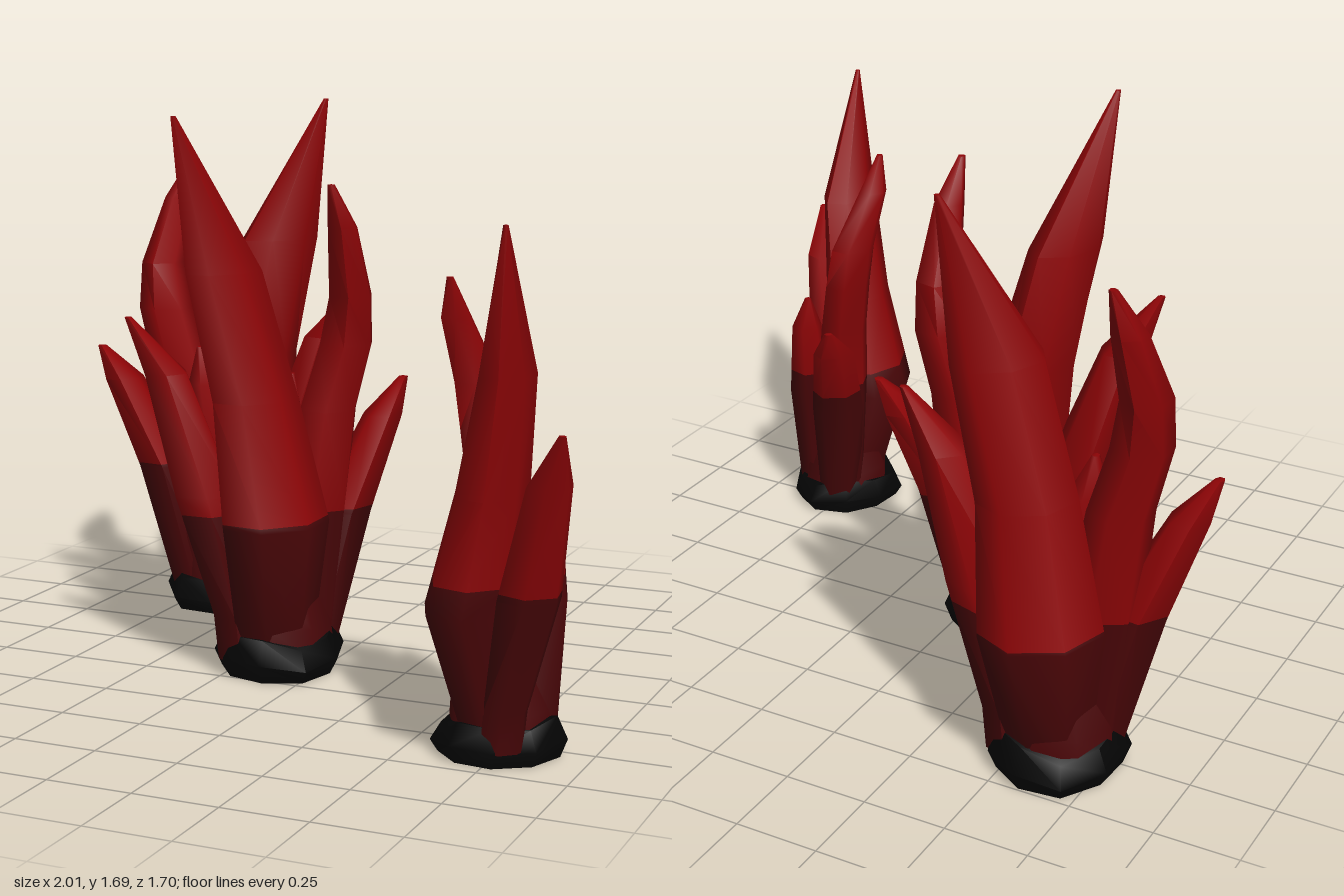
import * as THREE from 'three';
import { toCreasedNormals } from 'three/addons/utils/BufferGeometryUtils.js';

const SPLIT = 0.49; // height where the dark stems turn into bright tips

// Each spike: cross-sections [y, x, z, radiusX, radiusZ] from root to tip.
// tilt turns the oval sections about the vertical, phase turns their corners.
const SPIKES = {
  tallSpike: { sides: 7, phase: -0.66, tilt: -0.91, rings: [
    [0.08, 0.015, -0.045, 0.125, 0.12], [0.48, 0.0, -0.132, 0.182, 0.15],
    [0.85, 0.062, -0.1, 0.148, 0.115], [1.23, 0.15, -0.105, 0.138, 0.085],
    [1.69, 0.28, -0.2, 0.008, 0.008]] },
  mediumSpike: { sides: 6, phase: 0.3, tilt: 0, rings: [
    [0.05, 0.117, -0.08, 0.07, 0.075], [0.18, 0.13, -0.08, 0.07, 0.075],
    [0.55, 0.22, -0.06, 0.105, 0.105],
    [0.92, 0.335, -0.07, 0.072, 0.075], [1.09, 0.44, -0.1, 0.012, 0.012]] },
  hookedSpike: { sides: 6, phase: 0.5, tilt: 0, rings: [
    [0.08, -0.075, 0.03, 0.09, 0.09], [0.5, -0.105, 0.035, 0.108, 0.105],
    [0.8, -0.145, 0.038, 0.095, 0.092], [1.0, -0.2, 0.038, 0.088, 0.088],
    [1.15, -0.215, 0.02, 0.07, 0.084], [1.36, -0.2, -0.07, 0.048, 0.055],
    [1.49, -0.17, -0.112, 0.012, 0.012]] },
  leaningSpike: { sides: 6, phase: 0.1, tilt: 0, rings: [
    [0.08, -0.095, 0.05, 0.08, 0.08], [0.48, -0.185, 0.085, 0.09, 0.1],
    [0.77, -0.305, 0.14, 0.06, 0.08], [0.88, -0.365, 0.182, 0.014, 0.016]] },
  shortSpike: { sides: 6, phase: 0.4, tilt: 0, rings: [
    [0.08, 0.05, 0.08, 0.08, 0.08], [0.48, 0.035, 0.115, 0.09, 0.085],
    [0.77, 0.0, 0.14, 0.06, 0.058], [0.89, -0.02, 0.14, 0.012, 0.012]] },
  trunk: { sides: 8, phase: 0, tilt: 0, rings: [
    [0.05, 0, -0.01, 0.17, 0.175], [0.15, 0, -0.015, 0.16, 0.165],
    [0.32, 0, -0.01, 0.11, 0.11]] },
};

const CLUSTERS = [
  { name: 'backCluster', x: -0.62, z: -0.54, turn: 0, size: 1, mirror: 1 },
  { name: 'middleCluster', x: -0.135, z: 0.07, turn: 162, size: 0.99, mirror: 1 },
  { name: 'frontCluster', x: 0.757, z: 0.546, turn: 38, size: 0.855, mirror: -1 },
];

// Joins rings of points into a closed skin; quads above `split` use material 1
function skin(loops, mirrored, split = Infinity) {
  const lower = [], upper = [];
  const tri = (out, a, b, c) => {
    for (const p of mirrored ? [a, c, b] : [a, b, c]) out.push(p.x, p.y, p.z);
  };
  const cap = (loop, out, top) => {
    const mid = loop.reduce((s, p) => s.add(p), new THREE.Vector3()).divideScalar(loop.length);
    loop.forEach((p, i) => {
      const q = loop[(i + 1) % loop.length];
      if (top) tri(out, mid, q, p); else tri(out, mid, p, q);
    });
  };
  cap(loops[0], lower, false);
  for (let k = 0; k < loops.length - 1; k++) {
    const a = loops[k], b = loops[k + 1], out = a[0].y >= split - 1e-4 ? upper : lower;
    a.forEach((p, i) => {
      const j = (i + 1) % a.length;
      tri(out, p, b[i], b[j]);
      tri(out, p, b[j], a[j]);
    });
  }
  const end = loops[loops.length - 1];
  cap(end, end[0].y > split ? upper : lower, true);
  const g = new THREE.BufferGeometry();
  g.setAttribute('position', new THREE.Float32BufferAttribute(lower.concat(upper), 3));
  g.addGroup(0, lower.length / 3, 0);
  if (upper.length) g.addGroup(lower.length / 3, upper.length / 3, 1);
  return toCreasedNormals(g, 1.1);
}

export function createModel() {
  const mat = (name, color) => {
    const m = new THREE.MeshStandardMaterial({ color });
    m.name = name;
    return m;
  };
  const bright = mat('brightRed', 0x8d0406);
  const dark = mat('darkRed', 0x490507);
  const black = mat('charcoal', 0x050505);
  const model = new THREE.Group();
  model.name = 'spikeClusters';

  for (const c of CLUSTERS) {
    const group = new THREE.Group();
    group.name = c.name;
    group.position.set(c.x, 0, c.z);
    const t = THREE.MathUtils.degToRad(c.turn);
    const place = (x, y, z) => {
      const px = x * c.size, pz = z * c.size * c.mirror;
      return new THREE.Vector3(px * Math.cos(t) - pz * Math.sin(t), y * c.size,
        px * Math.sin(t) + pz * Math.cos(t));
    };
    const add = (name, geometry, materials) => {
      const mesh = new THREE.Mesh(geometry, materials);
      mesh.name = name;
      group.add(mesh);
    };

    // Spikes and trunk, with an extra ring where the colour changes
    for (const [name, s] of Object.entries(SPIKES)) {
      const rings = [], cut = SPLIT / c.size;
      s.rings.forEach((r, i) => {
        const prev = s.rings[i - 1];
        if (prev && prev[0] < cut && r[0] > cut) {
          const f = (cut - prev[0]) / (r[0] - prev[0]);
          rings.push(prev.map((v, k) => v + (r[k] - v) * f));
        }
        rings.push(r);
      });
      const ct = Math.cos(s.tilt), st = Math.sin(s.tilt);
      const loops = rings.map(([y, x, z, rx, rz]) => Array.from({ length: s.sides }, (_, i) => {
        const a = s.phase + (i / s.sides) * Math.PI * 2;
        const u = rx * Math.cos(a), v = rz * Math.sin(a);
        return place(x + u * ct - v * st, y, z + u * st + v * ct);
      }));
      add(name, skin(loops, c.mirror < 0, SPLIT), [dark, bright]);
    }

    // Rough stone foot with an uneven rim
    const foot = [[0, 0.185, 0], [0.05, 0.208, 0.012], [0.115, 0.175, 0.02]];
    const loops = foot.map(([y, r, wave]) => Array.from({ length: 9 }, (_, i) => {
      const a = (i / 9) * Math.PI * 2;
      const rr = r * (1 + 0.04 * Math.sin(i * 2.3));
      return place(rr * 0.97 * Math.cos(a), y + wave * Math.sin(i * 1.9),
        rr * 1.06 * Math.sin(a) - 0.013);
    }));
    add('stoneFoot', skin(loops, c.mirror < 0), black);
    model.add(group);
  }
  return model;
}
